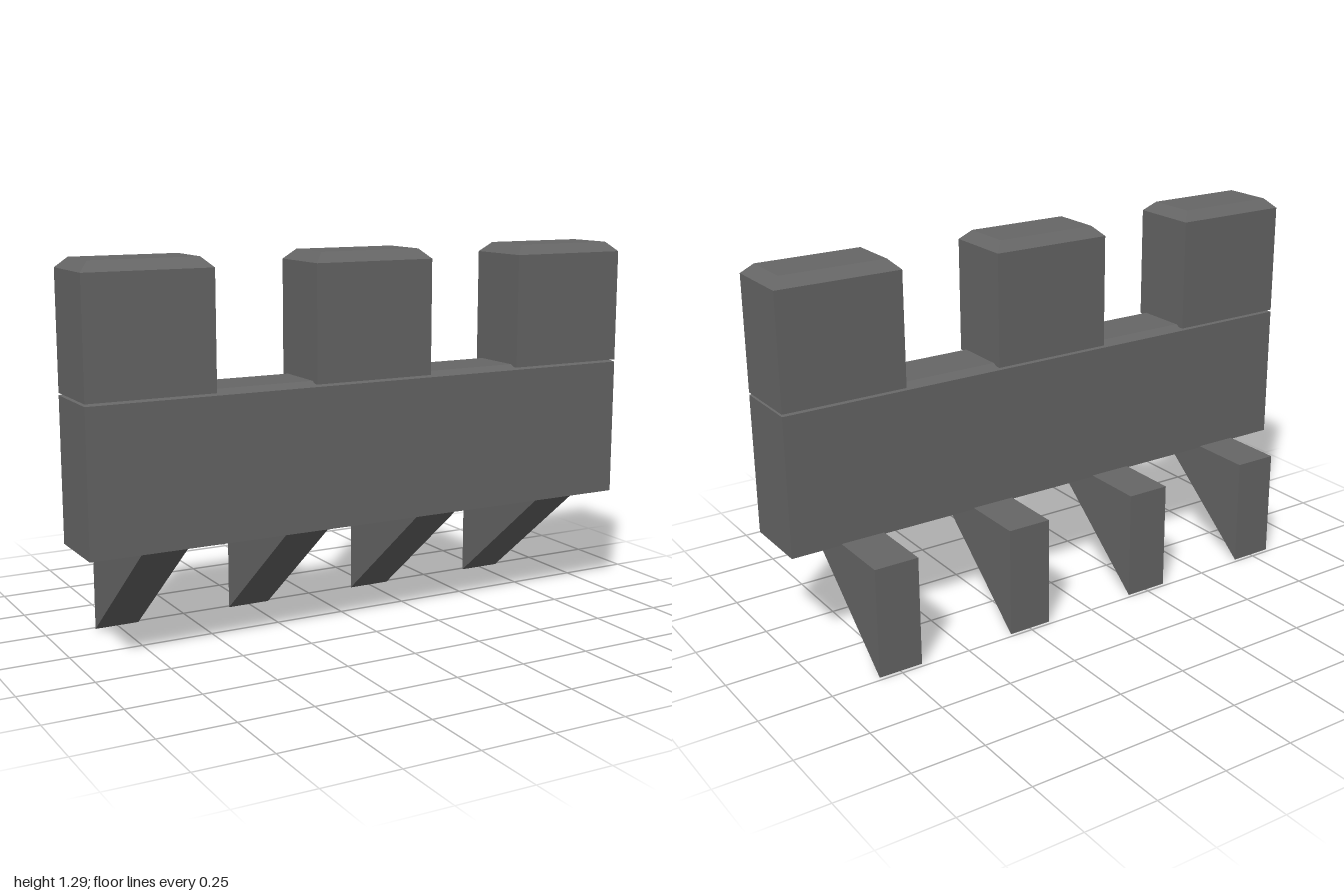
import * as THREE from 'three';

const stone = new THREE.MeshStandardMaterial({ color: 0x666666, flatShading: true });
stone.name = 'grey stone';

const BACK = -0.01, FRONT = 0.236, DEPTH = FRONT - BACK, INSET = 0.034;

// Box from y0 to y1 whose top edges are chamfered all round
function chamferedBlock(name, x0, x1, y0, y1, bevelHeight) {
  const w = x1 - x0, h = y1 - y0;
  const box = new THREE.BoxGeometry(w, h, DEPTH, 1, 2, 1);
  const p = box.attributes.position;
  for (let i = 0; i < p.count; i++) {
    const y = p.getY(i);
    if (Math.abs(y) < 1e-6) {
      p.setY(i, h / 2 - bevelHeight);
    } else if (y > 0) {
      p.setX(i, p.getX(i) - Math.sign(p.getX(i)) * INSET);
      p.setZ(i, p.getZ(i) - Math.sign(p.getZ(i)) * INSET);
    }
  }
  const geometry = box.toNonIndexed();
  geometry.computeVertexNormals();
  const mesh = new THREE.Mesh(geometry, stone);
  mesh.name = name;
  mesh.position.set((x0 + x1) / 2, (y0 + y1) / 2, (BACK + FRONT) / 2);
  return mesh;
}

// Triangular support, drawn in (z, y) and extruded across x
function bracket(x) {
  const width = 0.155;
  const shape = new THREE.Shape([
    new THREE.Vector2(0.236, 0.385),
    new THREE.Vector2(-0.236, 0.385),
    new THREE.Vector2(-0.236, 0.002),
  ]);
  const geometry = new THREE.ExtrudeGeometry(shape, { depth: width, bevelEnabled: false });
  geometry.rotateY(-Math.PI / 2); // shape x becomes z, depth becomes -x
  const mesh = new THREE.Mesh(geometry, stone);
  mesh.name = 'bracket';
  mesh.position.x = x + width / 2;
  return mesh;
}

export function createModel() {
  const model = new THREE.Group();
  model.name = 'battlement';

  // Parapet wall
  model.add(chamferedBlock('parapetWall', -1, 1, 0.38, 0.875, 0.016));

  // Three merlons
  for (const [x0, x1] of [[-1, -0.57], [-0.217, 0.215], [0.567, 1]]) {
    model.add(chamferedBlock('merlon', x0, x1, 0.867, 1.29, 0.033));
  }

  // Four supporting brackets
  for (let i = 0; i < 4; i++) model.add(bracket(-0.752 + i * 0.5));

  return model;
}
